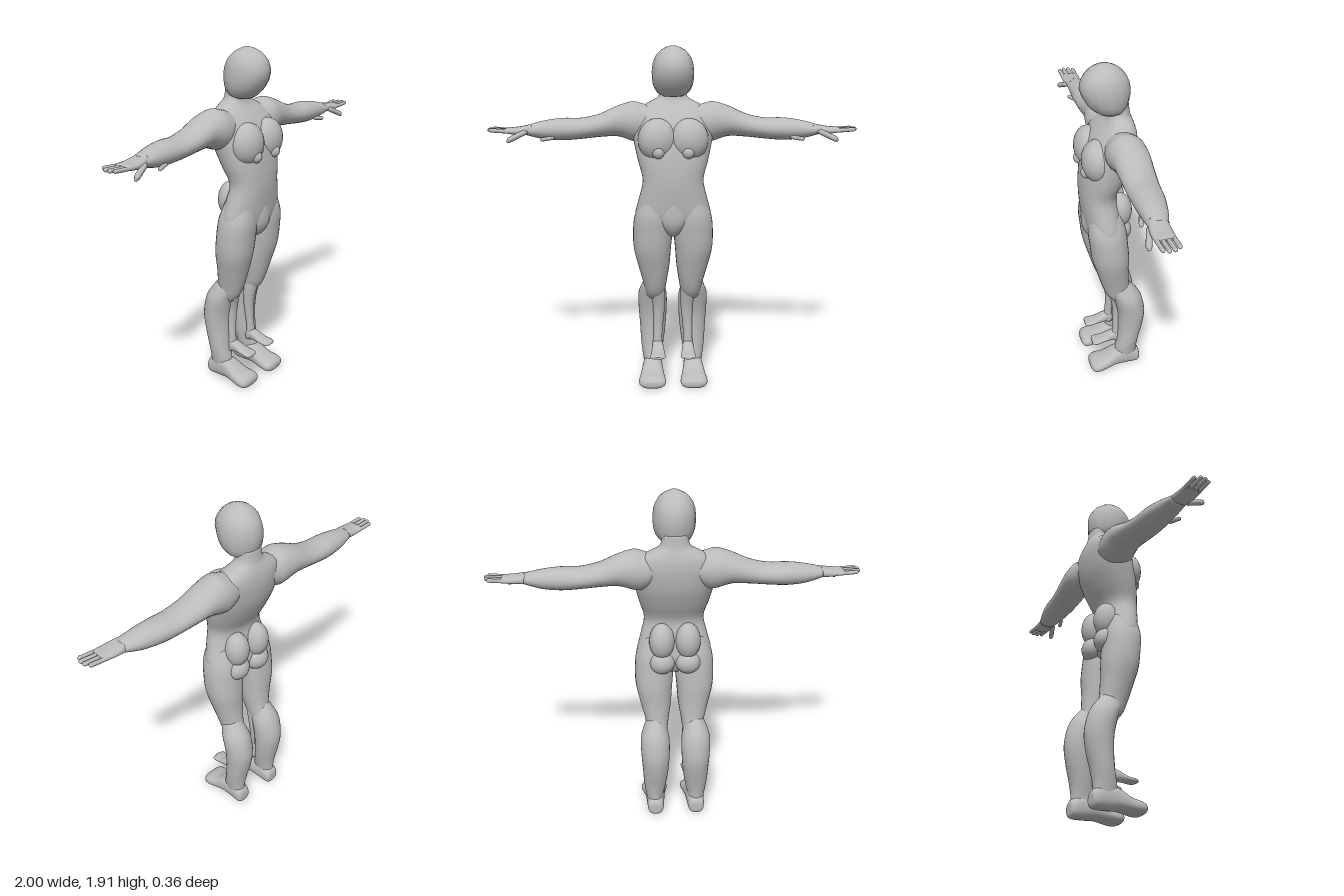
import * as THREE from 'three';

// Catmull-Rom blend through four values
const spline = (a, b, c, d, t) =>
  0.5 * (2 * b + (c - a) * t + (2 * a - 5 * b + 4 * c - d) * t * t + (3 * b - a - 3 * c + d) * t * t * t);

// Smooth skin along an axis through rows of [position, uMin, uMax, vMin, vMax]
// axis y: u = x, v = z; axis x: u = y, v = z; axis z: u = x, v = y
function loft(axis, rows, power = 2, sides = 28, steps = 4) {
  const rings = [];
  const row = i => rows[Math.min(rows.length - 1, Math.max(0, i))];
  for (let i = 0; i < rows.length - 1; i++)
    for (let s = 0; s < steps; s++)
      rings.push(rows[i].map((_, k) => spline(row(i - 1)[k], row(i)[k], row(i + 1)[k], row(i + 2)[k], s / steps)));
  rings.push(row(rows.length - 1));

  const pos = [], index = [];
  const put = (t, u, v) => pos.push(...(axis === 'y' ? [u, t, v] : axis === 'x' ? [t, u, v] : [u, v, t]));
  const round = w => Math.sign(w) * Math.abs(w) ** (2 / power);
  const turn = axis === 'y' ? 1 : -1;
  for (const [t, u0, u1, v0, v1] of rings)
    for (let j = 0; j < sides; j++) {
      const a = (j / sides) * Math.PI * 2;
      put(t, (u0 + u1) / 2 + (u1 - u0) / 2 * round(Math.cos(a)),
        (v0 + v1) / 2 + turn * (v1 - v0) / 2 * round(Math.sin(a)));
    }
  for (let i = 0; i < rings.length - 1; i++)
    for (let j = 0; j < sides; j++) {
      const a = i * sides + j, b = i * sides + (j + 1) % sides;
      index.push(a, a + sides, b, b, a + sides, b + sides);
    }
  // end caps
  const last = rings.length - 1, n = pos.length / 3;
  for (const i of [0, last]) put(rings[i][0], (rings[i][1] + rings[i][2]) / 2, (rings[i][3] + rings[i][4]) / 2);
  for (let j = 0; j < sides; j++) {
    const k = (j + 1) % sides;
    index.push(n, j, k, n + 1, last * sides + k, last * sides + j);
  }
  const g = new THREE.BufferGeometry();
  g.setAttribute('position', new THREE.Float32BufferAttribute(pos, 3));
  g.setIndex(index);
  g.computeVertexNormals();
  return g;
}

const ball = (x, y, z, rx, ry, rz) =>
  new THREE.SphereGeometry(1, 24, 16).scale(rx, ry, rz).translate(x, y, z);

// Rounded finger between two points
function finger(a, b, r) {
  const p = new THREE.Vector3(...a), q = new THREE.Vector3(...b), d = q.clone().sub(p);
  const g = new THREE.CapsuleGeometry(r, d.length(), 5, 10);
  g.applyQuaternion(new THREE.Quaternion().setFromUnitVectors(new THREE.Vector3(0, 1, 0), d.normalize()));
  const m = p.add(q).multiplyScalar(0.5);
  return g.translate(m.x, m.y, m.z);
}

// Reflected copy with its winding restored
function mirrored(geo) {
  const g = geo.clone().scale(-1, 1, 1), ix = g.index;
  for (let i = 0; i < ix.count; i += 3) {
    const t = ix.getX(i);
    ix.setX(i, ix.getX(i + 2));
    ix.setX(i + 2, t);
  }
  return g;
}

export function createModel() {
  const model = new THREE.Group();
  model.name = 'figure';
  const grey = new THREE.MeshStandardMaterial({ color: 0xbbbbbb });
  grey.name = 'grey';

  const add = (name, geo) => {
    const mesh = new THREE.Mesh(geo, grey);
    mesh.name = name;
    model.add(mesh);
  };
  const pair = (name, geo) => {
    add(name + 'Left', geo);
    add(name + 'Right', mirrored(geo));
  };
  const centred = rows => rows.map(([y, w, z0, z1]) => [y, -w, w, z0, z1]);

  // Trunk and neck
  add('torso', loft('y', centred([
    [0.9, 0.08, -0.03, 0.08], [0.94, 0.17, -0.05, 0.12], [1.0, 0.208, -0.06, 0.145],
    [1.1, 0.186, -0.045, 0.158], [1.2, 0.165, -0.03, 0.164], [1.3, 0.19, -0.075, 0.158],
    [1.4, 0.212, -0.115, 0.14], [1.5, 0.225, -0.132, 0.105], [1.565, 0.2, -0.13, 0.06],
    [1.605, 0.14, -0.12, 0.025], [1.64, 0.08, -0.108, 0.01], [1.7, 0.07, -0.1, 0.01],
  ]), 2.2, 40));

  // Head, with a coarse outline
  add('head', loft('y', centred([
    [1.645, 0.05, -0.05, 0.05], [1.665, 0.085, -0.085, 0.08], [1.71, 0.108, -0.104, 0.122],
    [1.78, 0.113, -0.11, 0.153], [1.845, 0.1, -0.09, 0.137], [1.89, 0.063, -0.045, 0.092],
    [1.912, 0.015, 0.005, 0.045],
  ]), 2, 14, 2));

  // Chest and groin
  pair('pectoral', ball(0.085, 1.42, 0.085, 0.105, 0.115, 0.085));
  pair('nipple', ball(0.08, 1.36, 0.145, 0.032, 0.034, 0.03));
  add('groin', loft('y', centred([
    [0.885, 0.012, 0.06, 0.09], [0.91, 0.045, 0.03, 0.125], [0.96, 0.075, 0.03, 0.152],
    [1.02, 0.085, 0.03, 0.158], [1.08, 0.05, 0.05, 0.155],
  ])));

  // Two-lobed buttocks
  pair('upperButtock', ball(0.072, 1.09, -0.035, 0.07, 0.103, 0.072));
  pair('lowerButtock', ball(0.072, 0.965, -0.04, 0.072, 0.068, 0.064));

  // Arms
  pair('arm', loft('x', [
    [0.1, 1.44, 1.585, -0.11, 0.05], [0.17, 1.4, 1.605, -0.13, 0.07], [0.22, 1.4, 1.615, -0.135, 0.072],
    [0.3, 1.425, 1.592, -0.132, 0.06], [0.4, 1.422, 1.548, -0.123, 0.055],
    [0.5, 1.412, 1.526, -0.114, 0.053], [0.6, 1.405, 1.526, -0.105, 0.05],
    [0.7, 1.412, 1.513, -0.085, 0.045], [0.79, 1.435, 1.49, -0.057, 0.04],
  ]));

  // Hands
  pair('palm', loft('x', [
    [0.76, 1.44, 1.495, -0.05, 0.035], [0.8, 1.438, 1.488, -0.055, 0.045],
    [0.85, 1.44, 1.48, -0.054, 0.05], [0.895, 1.447, 1.477, -0.052, 0.048],
    [0.91, 1.455, 1.472, -0.045, 0.04],
  ], 2.5));
  [[-0.042, 0.972], [-0.015, 0.988], [0.012, 0.99], [0.038, 0.978]].forEach(([z, tip], i) =>
    pair('finger' + (i + 1), finger([0.88, 1.46, z], [tip, 1.467, z], 0.011)));
  pair('thumb', finger([0.8, 1.455, 0.04], [0.875, 1.42, 0.065], 0.015));
  pair('thumbTip', finger([0.85, 1.43, 0.06], [0.882, 1.413, 0.066], 0.011));
  pair('forearmSpur', finger([0.65, 1.425, 0.03], [0.703, 1.418, 0.046], 0.011));

  // Thighs
  pair('thigh', loft('y', [
    [0.5, 0.06, 0.15, -0.12, 0.01], [0.54, 0.045, 0.16, -0.11, 0.042], [0.6, 0.035, 0.17, -0.09, 0.067],
    [0.7, 0.02, 0.195, -0.08, 0.097], [0.8, 0.012, 0.218, -0.08, 0.125],
    [0.9, 0.004, 0.222, -0.072, 0.138], [1.0, 0.01, 0.211, -0.06, 0.146], [1.1, 0.04, 0.17, -0.03, 0.13],
  ], 2.15));

  // Heavy rear calves and feet
  pair('calf', loft('y', [
    [0.04, 0.08, 0.16, -0.14, 0], [0.12, 0.07, 0.173, -0.135, -0.003], [0.2, 0.055, 0.184, -0.145, -0.018],
    [0.3, 0.042, 0.19, -0.168, -0.025], [0.4, 0.035, 0.197, -0.18, -0.022],
    [0.5, 0.035, 0.199, -0.162, 0], [0.56, 0.05, 0.182, -0.133, 0.02], [0.63, 0.075, 0.15, -0.075, 0.02],
  ]));
  pair('foot', loft('z', [
    [-0.15, 0.09, 0.15, 0.03, 0.08], [-0.135, 0.075, 0.165, 0.01, 0.11], [-0.07, 0.066, 0.17, 0.008, 0.14],
    [0, 0.06, 0.177, 0.012, 0.125], [0.06, 0.05, 0.188, 0.006, 0.088],
    [0.11, 0.042, 0.196, 0, 0.074], [0.14, 0.05, 0.185, 0.004, 0.062], [0.153, 0.08, 0.155, 0.02, 0.045],
  ], 2.4));

  // Slim front shins with small feet
  pair('shin', loft('y', [
    [0.18, 0.055, 0.12, -0.045, 0.012], [0.25, 0.062, 0.113, -0.04, 0.004], [0.35, 0.055, 0.112, -0.05, 0],
    [0.45, 0.045, 0.117, -0.06, 0.008], [0.54, 0.045, 0.135, -0.06, 0.03], [0.6, 0.06, 0.13, -0.04, 0.04],
  ]));
  pair('smallFoot', loft('z', [
    [-0.05, 0.07, 0.11, 0.18, 0.21], [-0.02, 0.058, 0.118, 0.174, 0.24], [0.02, 0.054, 0.12, 0.175, 0.232],
    [0.07, 0.048, 0.125, 0.177, 0.207], [0.115, 0.045, 0.13, 0.174, 0.198], [0.132, 0.06, 0.115, 0.178, 0.19],
  ], 2.4));

  return model;
}
